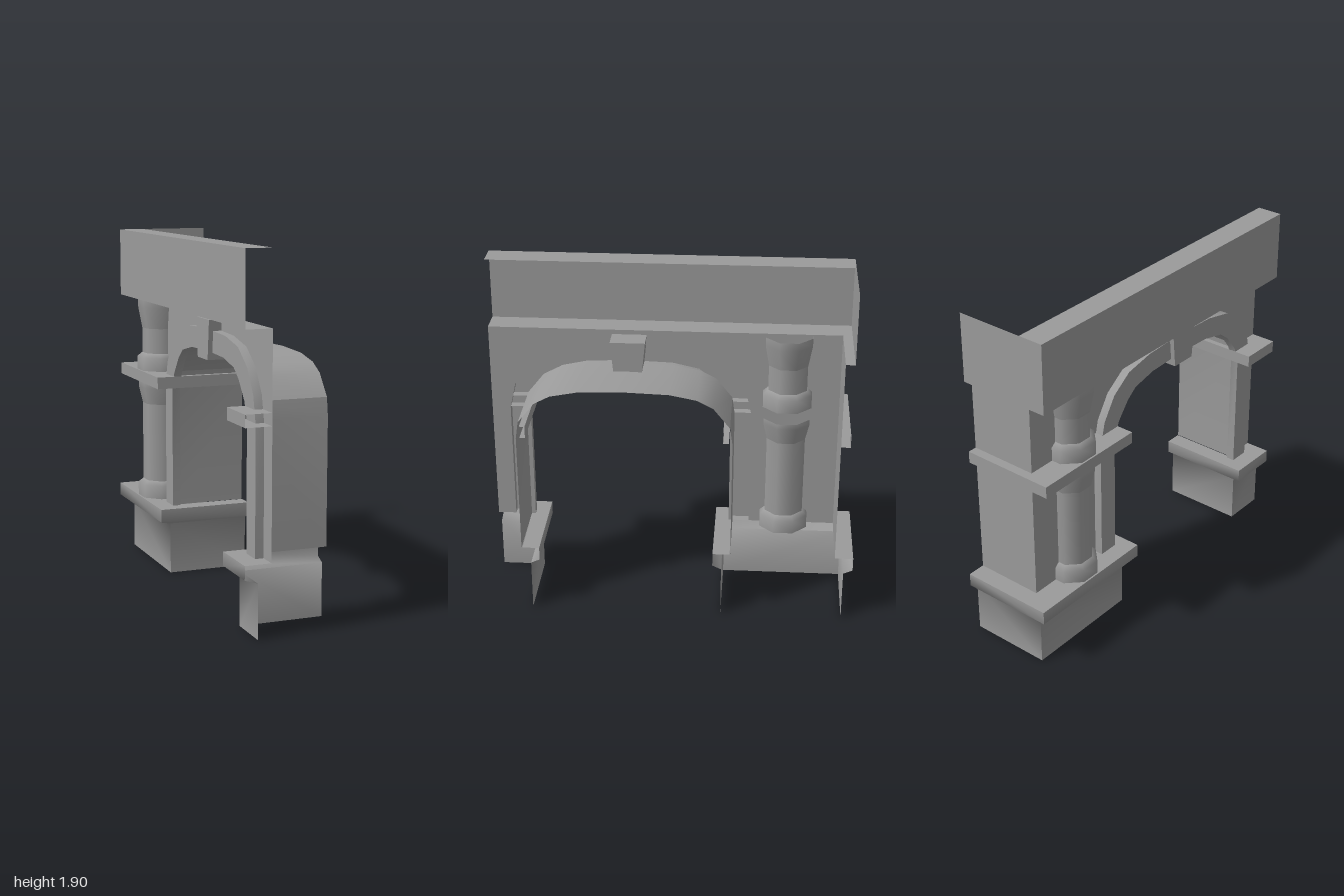
import * as THREE from 'three';
import { mergeGeometries, toCreasedNormals } from 'three/addons/utils/BufferGeometryUtils.js';

const material = new THREE.MeshStandardMaterial({ color: 0x9b9b9b, side: THREE.DoubleSide });
const MID = 0.238;   // z of the arch centre
const BACK = 0.262;  // open rear edge
const WALL = -0.12;  // plane of the facade wall

function part(name, geometry, crease) {
  const mesh = new THREE.Mesh(crease ? toCreasedNormals(geometry, crease) : geometry, material);
  mesh.name = name;
  return mesh;
}

// Open surface through rows of [x, y, z] points
function loft(rows) {
  const n = rows[0].length, index = [];
  for (let r = 0; r < rows.length - 1; r++) {
    for (let i = 0; i < n - 1; i++) {
      const a = r * n + i, b = a + n;
      index.push(a, a + 1, b, a + 1, b + 1, b);
    }
  }
  const geometry = new THREE.BufferGeometry();
  geometry.setAttribute('position', new THREE.Float32BufferAttribute(rows.flat(2), 3));
  geometry.setIndex(index);
  geometry.computeVertexNormals();
  return geometry;
}

// Plan paths: each level is [y, front x, end z, inner z]
const cornerPier = ([y, x, end, inner]) => [[BACK, y, end], [x, y, end], [x, y, inner], [BACK, y, inner]];
const cutPier = ([y, x, , inner]) => [[x, y, 1], [x, y, 2 * MID - inner], [BACK, y, 2 * MID - inner]];
const friezePath = ([y, x, end]) => [[BACK, y, end], [x, y, end], [x, y, 1]];

// Mirrored arch outline from half of it, as [z, y], feet at y = 0.38
function archOutline(half) {
  const left = [[half[0][0], 0.38], ...half];
  const right = left.slice(0, -1).reverse().map(([d, y]) => [-d, y]);
  return [...left, ...right].map(([d, y]) => [MID + d, y]);
}

const inner = archOutline([[0.55, 1.05], [0.515, 1.145], [0.44, 1.24], [0.375, 1.29], [0.23, 1.322], [0, 1.33]]);
const outer = archOutline([[0.662, 1.05], [0.63, 1.19], [0.55, 1.315], [0.43, 1.4], [0.26, 1.435], [0, 1.445]]);
const barrel = archOutline([[0.572, 1.05], [0.558, 1.145], [0.47, 1.255], [0.385, 1.3], [0.24, 1.328], [0, 1.336]]);
const atX = (outline, x) => outline.map(([z, y]) => [x, y, z]);

// Octagonal column: sections of [half width, y] points, with an edge between sections
function column(name, sections) {
  const geometry = mergeGeometries(sections.map((section) => new THREE.LatheGeometry(
    section.map(([r, y]) => new THREE.Vector2(r / Math.cos(Math.PI / 8), y)), 8)));
  geometry.rotateY(Math.PI / 8);
  geometry.translate(WALL, 0, -0.617);
  return part(name, geometry);
}

export function createModel() {
  const group = new THREE.Group();

  // Facade wall, cut along the outside of the arch moulding
  const contour = [[1, 0.38], ...outer, [-0.9, 0.38], [-0.9, 1.525], [1, 1.525]];
  const wall = new THREE.ShapeGeometry(new THREE.Shape(contour.map(([z, y]) => new THREE.Vector2(z, y))));
  wall.rotateY(-Math.PI / 2);
  wall.translate(WALL, 0, 0);
  group.add(part('facadeWall', wall));

  // Return wall at the corner
  group.add(part('endWall', loft([
    [[BACK, 0.38, -0.9], [WALL, 0.38, -0.9]],
    [[BACK, 1.525, -0.9], [WALL, 1.525, -0.9]],
  ])));

  // Raised moulding round the arch, and the passage lining behind it
  group.add(part('archMoulding', loft([
    atX(outer, WALL), atX(outer, -0.165), atX(inner, -0.165), atX(inner, WALL), atX(barrel, WALL),
  ]), 0.6));
  group.add(part('archLining', loft([atX(barrel, WALL), atX(barrel, BACK)]), 0.45));

  // Plinths with a flared ledge, and the bands at springing height
  const plinth = [
    [0, -0.19, -0.95, -0.285], [0.285, -0.19, -0.95, -0.285], [0.307, -0.26, -1, -0.237],
    [0.38, -0.26, -1, -0.237], [0.38, WALL, -0.9, -0.33],
  ];
  const band = [
    [1.055, WALL, -0.9, -0.315], [1.055, -0.26, -0.95, -0.285],
    [1.12, -0.26, -0.95, -0.285], [1.12, WALL, -0.9, -0.315],
  ];
  for (const [side, path] of [['corner', cornerPier], ['cut', cutPier]]) {
    group.add(part(side + 'Plinth', loft(plinth.map(path)), 1.4));
    group.add(part(side + 'Band', loft(band.map(path)), 0.3));
  }

  // Hollow frieze with soffit, face and top cap
  group.add(part('frieze', loft([
    [1.525, WALL, -0.9], [1.525, -0.26, -0.95], [1.905, -0.26, -0.95], [1.905, WALL, -0.95],
  ].map(friezePath)), 0.3));

  // Tapered keystone
  const keystone = new THREE.BoxGeometry(0.19, 0.21, 1);
  const p = keystone.attributes.position;
  for (let i = 0; i < p.count; i++) p.setZ(i, p.getZ(i) * (p.getY(i) > 0 ? 0.187 : 0.145));
  keystone.computeVertexNormals();
  keystone.translate(-0.095, 1.395, MID);
  group.add(part('keystone', keystone));

  // Two stacked columns
  group.add(column('lowerColumn', [
    [[0.131, 0.38], [0.131, 0.455], [0.104, 0.478]],
    [[0.104, 0.478], [0.104, 0.925]],
    [[0.104, 0.925], [0.125, 1.02], [0.125, 1.05]],
  ]));
  group.add(column('upperColumn', [
    [[0.131, 1.12], [0.131, 1.195], [0.104, 1.218]],
    [[0.104, 1.218], [0.104, 1.36]],
    [[0.104, 1.36], [0.125, 1.48], [0.125, 1.525]],
  ]));

  return group;
}
